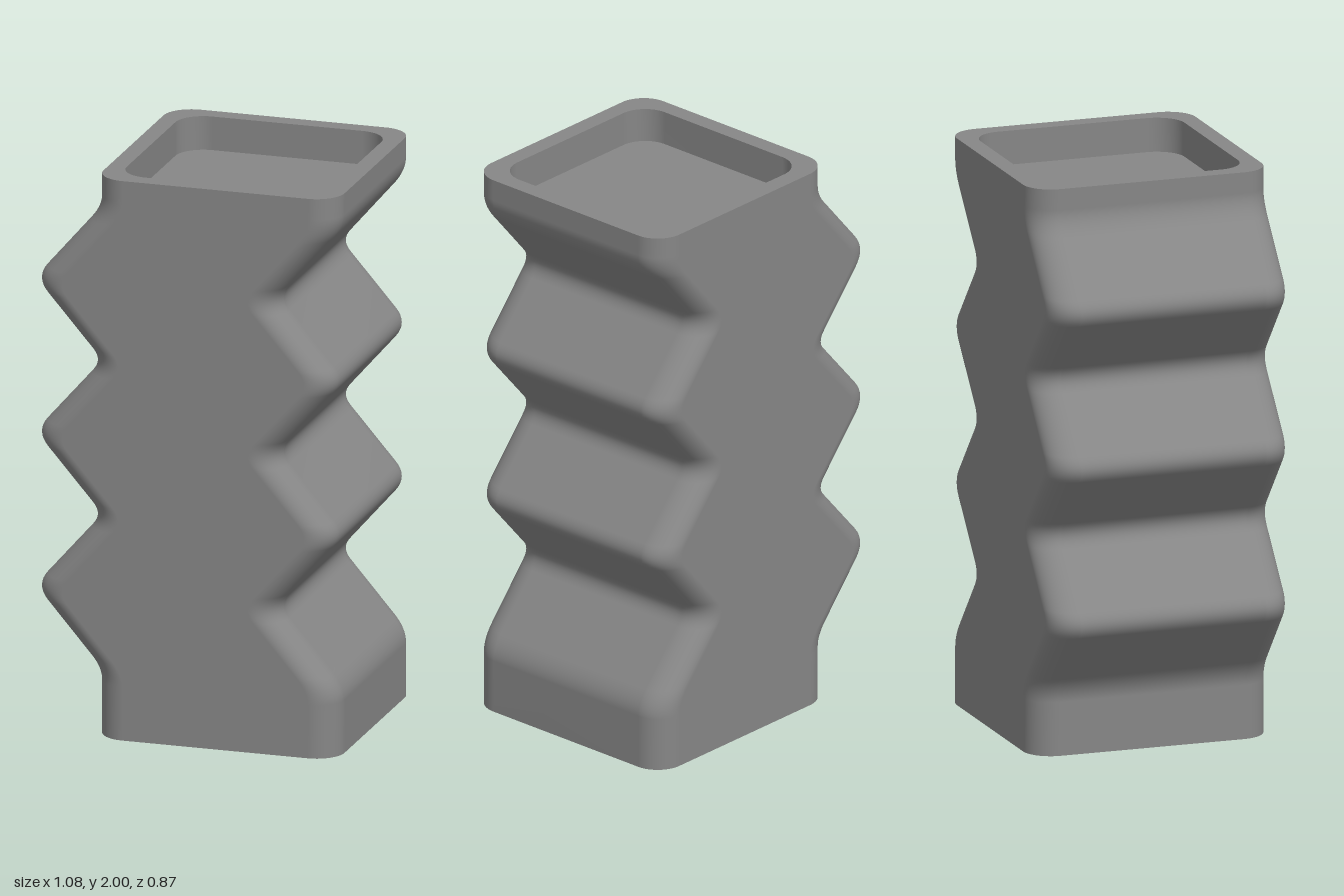
import * as THREE from 'three';

const WIDTH = 0.865, DEPTH = 0.866, RADIUS = 0.1, WALL = 0.063;
const HEIGHT = 2, FLOOR_Y = 1.88, END_X = 0.1075;

// Rounded rectangle centred on the origin
function roundedRect(w, d, r, target = new THREE.Shape()) {
  const x = w / 2, y = d / 2;
  target.absarc(x - r, y - r, r, 0, Math.PI / 2);
  target.absarc(-x + r, y - r, r, Math.PI / 2, Math.PI);
  target.absarc(-x + r, -y + r, r, Math.PI, Math.PI * 1.5);
  target.absarc(x - r, -y + r, r, Math.PI * 1.5, Math.PI * 2);
  target.closePath();
  return target;
}

// Skin of one outline repeated at stations of [x offset, y]
function loft(shape, stations, inward = false) {
  const outline = shape.getPoints(10);
  // drop repeated points so the skin closes without a seam
  const pts = outline.filter((p, i) => p.distanceTo(outline[(i + 1) % outline.length]) > 1e-5);
  const n = pts.length, pos = [], idx = [];
  for (const [x, y] of stations) for (const p of pts) pos.push(p.x + x, y, -p.y);
  for (let j = 0; j < stations.length - 1; j++) {
    for (let i = 0; i < n; i++) {
      const a = j * n + i, b = j * n + (i + 1) % n, c = a + n, d = b + n;
      if (inward) idx.push(a, d, b, a, c, d);
      else idx.push(a, b, d, a, d, c);
    }
  }
  const g = new THREE.BufferGeometry();
  g.setAttribute('position', new THREE.Float32BufferAttribute(pos, 3));
  g.setIndex(idx);
  g.computeVertexNormals();
  return g;
}

// Zigzag centre line with softened bends
function zigzagStations() {
  const bends = [[END_X, 0.235]];
  for (let i = 0; i < 5; i++) bends.push([i % 2 ? 0.112 : -0.128, 0.507 + i * 0.275]);
  bends.push([END_X, 1.88]);
  const line = [[END_X, 0], ...bends, [END_X, HEIGHT]].map(p => new THREE.Vector2(...p));
  const out = [[END_X, 0]];
  const toward = (p, q) => p.clone().lerp(q, 0.045 / Math.abs(q.y - p.y));
  for (let i = 1; i < line.length - 1; i++) {
    const bend = new THREE.QuadraticBezierCurve(
      toward(line[i], line[i - 1]), line[i], toward(line[i], line[i + 1]));
    for (const p of bend.getPoints(8)) out.push([p.x, p.y]);
  }
  out.push([END_X, HEIGHT]);
  return out;
}

export function createModel() {
  const group = new THREE.Group();
  const material = new THREE.MeshStandardMaterial({ color: 0x868686 });
  const add = (name, geometry) => {
    const mesh = new THREE.Mesh(geometry, material);
    mesh.name = name;
    group.add(mesh);
  };
  // Flat cap at height y, facing up or down
  const cap = (shape, y, up = true) => new THREE.ShapeGeometry(shape, 10)
    .rotateX(up ? -Math.PI / 2 : Math.PI / 2).translate(END_X, y, 0);

  const outer = () => roundedRect(WIDTH, DEPTH, RADIUS);
  const innerSize = [WIDTH - 2 * WALL, DEPTH - 2 * WALL, RADIUS];
  const inner = roundedRect(...innerSize);

  // Zigzag outer skin and base
  add('zigzagBody', loft(outer(), zigzagStations()));
  add('base', cap(outer(), 0, false));

  // Rim around the shallow recess
  const rim = outer();
  rim.holes.push(roundedRect(...innerSize, new THREE.Path()));
  add('rim', cap(rim, HEIGHT));
  add('recessWall', loft(inner, [[END_X, FLOOR_Y], [END_X, HEIGHT]], true));
  add('recessFloor', cap(inner, FLOOR_Y));
  return group;
}
